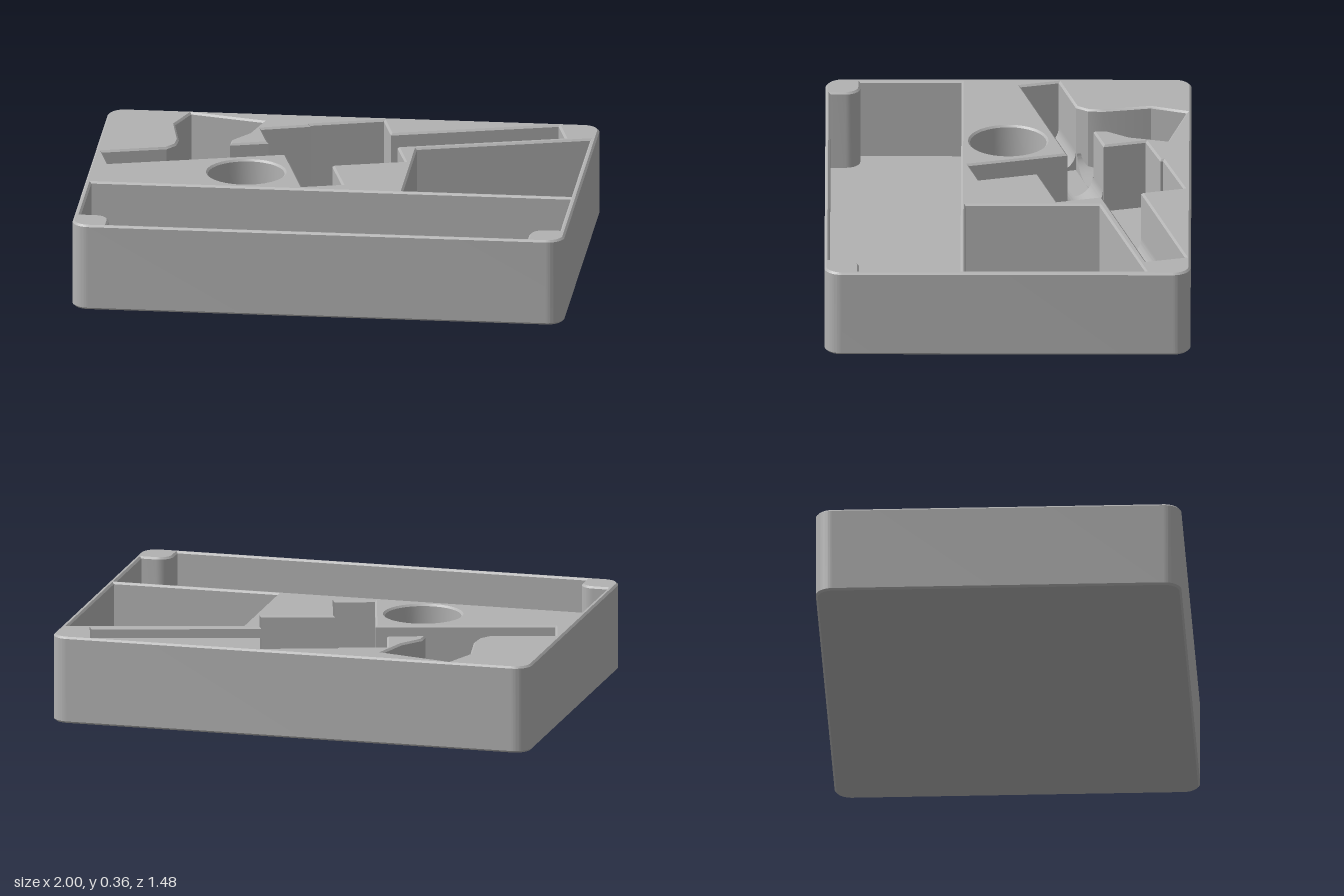
import * as THREE from 'three';
import { toCreasedNormals } from 'three/addons/utils/BufferGeometryUtils.js';

const H = 0.36, BEVEL = 0.008, BASE = 0.03, FLAT = 0.07, BOTTOM = 0.08, AXIS = 0.16;
const TILT = 0.267; // the tool-shaped pocket is turned by this angle

const grey = new THREE.MeshStandardMaterial({ color: 0xb2b2b2, side: THREE.DoubleSide });
grey.name = 'grey plastic';

// plan points [x, z] to shape points
const plan = pts => pts.map(([x, z]) => new THREE.Vector2(x, -z));

// points of the tilted frame [u, v] to plan points [x, z]
const tilt = ([u, v]) => [
  u * Math.cos(TILT) + v * Math.sin(TILT),
  -u * Math.sin(TILT) + v * Math.cos(TILT),
];

const rect = (x0, z0, x1, z1) => [[x0, z0], [x1, z0], [x1, z1], [x0, z1]];

function roundedRect(w, d, r) {
  const s = new THREE.Shape(), x = w / 2, y = d / 2;
  s.absarc(x - r, y - r, r, 0, Math.PI / 2);
  s.absarc(-x + r, y - r, r, Math.PI / 2, Math.PI);
  s.absarc(-x + r, -y + r, r, Math.PI, Math.PI * 1.5);
  s.absarc(x - r, -y + r, r, Math.PI * 1.5, Math.PI * 2);
  s.closePath();
  return s;
}

function mesh(name, geometry) {
  const m = new THREE.Mesh(geometry, grey);
  m.name = name;
  return m;
}

// upright prism standing on y = y0
function prism(name, shape, y0, y1, bevel = 0) {
  const g = new THREE.ExtrudeGeometry(shape, {
    depth: y1 - y0 - 2 * bevel, curveSegments: 16,
    bevelEnabled: bevel > 0, bevelSize: bevel, bevelThickness: bevel,
    bevelOffset: -bevel, bevelSegments: 1,
  });
  g.rotateX(-Math.PI / 2).translate(0, y0 + bevel, 0);
  return mesh(name, toCreasedNormals(g, 0.5));
}

// filling with a round groove in its top; a side can be left open and flat
function trough(name, { from, to, centre, half, along = 'u', open = '' }) {
  const s = new THREE.Shape();
  s.moveTo(-half, 0.01);
  s.lineTo(half, 0.01);
  s.lineTo(half, open === 'right' ? BOTTOM : AXIS);
  if (open === 'right') s.lineTo(0, BOTTOM);
  s.absellipse(0, AXIS, half, AXIS - BOTTOM,
    open === 'right' ? -Math.PI / 2 : 0, open === 'left' ? -Math.PI / 2 : -Math.PI, true);
  if (open === 'left') s.lineTo(-half, BOTTOM);
  s.closePath();
  const g = new THREE.ExtrudeGeometry(s, { depth: to - from, bevelEnabled: false, curveSegments: 20 });
  if (along === 'u') g.rotateY(Math.PI / 2).translate(from, 0, centre);
  else g.translate(centre, 0, from);
  return mesh(name, toCreasedNormals(g, 0.5));
}

export function createModel() {
  const model = new THREE.Group();
  model.name = 'storageTray';

  // long front bin with a rounded post in each outer corner
  const post = [];
  for (let i = 0; i <= 10; i++) {
    const a = (i / 10) * Math.PI / 2;
    post.push([0.915 - 0.06 * Math.sin(a), 0.66 - 0.06 * Math.cos(a)]);
  }
  const half = [[0.975, 0.19], [0.975, 0.6], ...post, [0.855, 0.72]];
  const frontBin = [...half, ...half.map(([x, z]) => [-x, z]).reverse()];

  // side bin with a slanted back
  const sideBin = [[0.29, 0.17], [0.975, 0.17], [0.975, -0.56], [0.29, -0.37]];

  // outline of the tool pocket, in the tilted frame
  const tank = [[-0.554, -0.55], [-0.538, -0.744], [-0.451, -0.87],
    [-0.182, -0.718], [-0.262, -0.58], [-0.345, -0.51]];
  const tool = [
    [-0.885, -0.452], [-0.62, -0.452], [-0.575, -0.49], ...tank,
    [-0.36, -0.455], [-0.203, -0.455], [-0.203, -0.632], [0, -0.638],
    [0, -0.65], [0.303, -0.655], [0.303, -0.476], [0.99, -0.476],
    [0.99, -0.312], [0.303, -0.312], [0.303, -0.124], [0.005, -0.124],
    [0.005, 0.122], [-0.158, 0.122], [-0.158, -0.292], [-0.885, -0.292],
  ].map(tilt);

  // body with the pockets cut through, closed by a base
  const body = roundedRect(2, 1.48, 0.07);
  for (const pts of [frontBin, sideBin, tool]) body.holes.push(new THREE.Path(plan(pts)));
  const round = new THREE.Path();
  round.absarc(-0.365, 0, 0.155, 0, Math.PI * 2, true);
  body.holes.push(round);
  model.add(prism('body', body, 0, H, BEVEL));
  model.add(prism('base', roundedRect(2 - 2 * BEVEL, 1.48 - 2 * BEVEL, 0.062), 0, BASE));

  // round cup with a small dimple
  const cup = [];
  for (let i = 0; i <= 12; i++) {
    const a = (i / 12) * 1.38;
    cup.push(new THREE.Vector2(0.158 * Math.cos(a), 0.2 - 0.14 * Math.sin(a)));
  }
  cup.push(new THREE.Vector2(0.026, 0.04), new THREE.Vector2(0, 0.035));
  const cupMesh = mesh('cupFloor', toCreasedNormals(new THREE.LatheGeometry(cup, 40), 0.6));
  cupMesh.position.set(-0.365, 0, 0);
  model.add(cupMesh);

  // floors of the tool pocket
  const floors = new THREE.Group();
  floors.name = 'toolPocketFloors';
  floors.rotation.y = TILT;
  const flat = (name, pts) => floors.add(prism(name, new THREE.Shape(plan(pts)), 0.01, FLAT));
  flat('tankFloor', tank);
  flat('blockFloor', rect(0, -0.655, 0.303, -0.124));
  flat('stripFloor', rect(-0.203, -0.635, 0, -0.292));
  const left = { centre: -0.372, half: 0.08 };
  floors.add(
    trough('leftTrough', { ...left, from: -0.885, to: -0.62 }),
    trough('neckTrough', { ...left, from: -0.62, to: -0.36, open: 'right' }),
    trough('innerTrough', { ...left, from: -0.36, to: -0.203 }),
    trough('rightTrough', { from: 0.303, to: 0.99, centre: -0.394, half: 0.082 }),
    trough('neck', { along: 'v', from: -0.55, to: -0.452, centre: -0.475, half: 0.125 }),
    trough('handleTop', { along: 'v', from: -0.292, to: -0.124, centre: -0.077, half: 0.082, open: 'right' }),
    trough('handle', { along: 'v', from: -0.124, to: 0.122, centre: -0.077, half: 0.082 }),
  );
  model.add(floors);
  return model;
}
